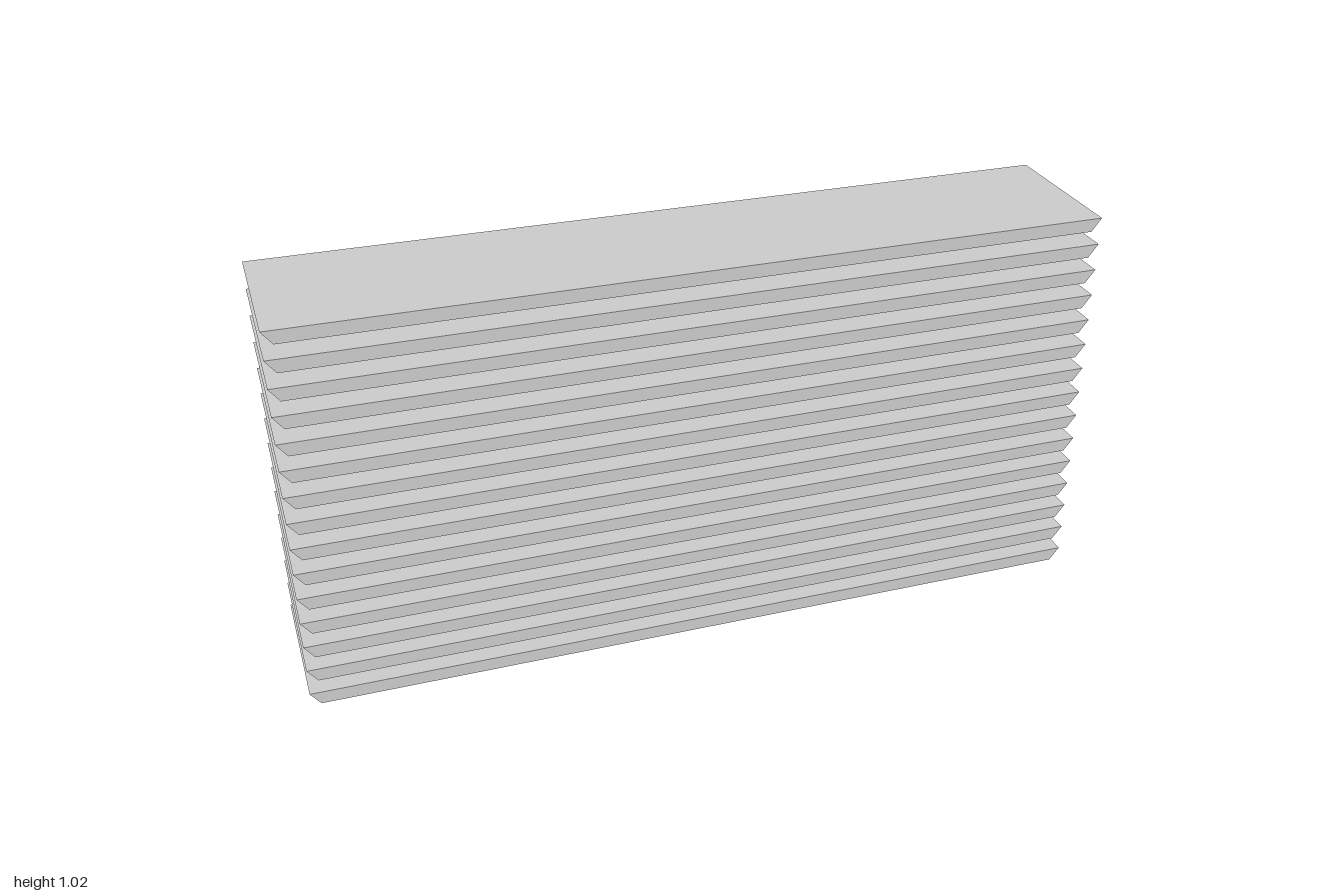
import * as THREE from 'three';

const COUNT = 15;
const PITCH = 0.068;

// One slab: a box with three levels, tapered towards its underside
function slabGeometry() {
  // half length, half depth and height of each level, bottom to top
  const levels = [
    { x: 0.925, z: 0.1, y: 0.002 },
    { x: 0.975, z: 0.19, y: 0.029 },
    { x: 1.0, z: 0.19, y: 0.0615 },
  ];
  const geometry = new THREE.BoxGeometry(2, 2, 2, 1, 2, 1);
  const p = geometry.attributes.position;
  for (let i = 0; i < p.count; i++) {
    const level = levels[Math.round(p.getY(i)) + 1];
    const z = Math.sign(p.getZ(i)) * level.z;
    // the back edge sits very slightly higher than the front
    p.setXYZ(i, Math.sign(p.getX(i)) * level.x, level.y - 0.008 * (z - 0.0), z);
    if (level === levels[0]) p.setY(i, z > 0 ? 0.003 : 0);
  }
  geometry.computeVertexNormals();
  return geometry;
}

export function createModel() {
  const group = new THREE.Group();
  group.name = 'slabStack';
  const material = new THREE.MeshStandardMaterial({ color: 0xcccccc, flatShading: true });
  const geometry = slabGeometry();

  // Evenly spaced stack with narrow open gaps
  for (let i = 0; i < COUNT; i++) {
    const slab = new THREE.Mesh(geometry, material);
    slab.name = `slab${i + 1}`;
    slab.position.y = i * PITCH;
    group.add(slab);
  }
  return group;
}
